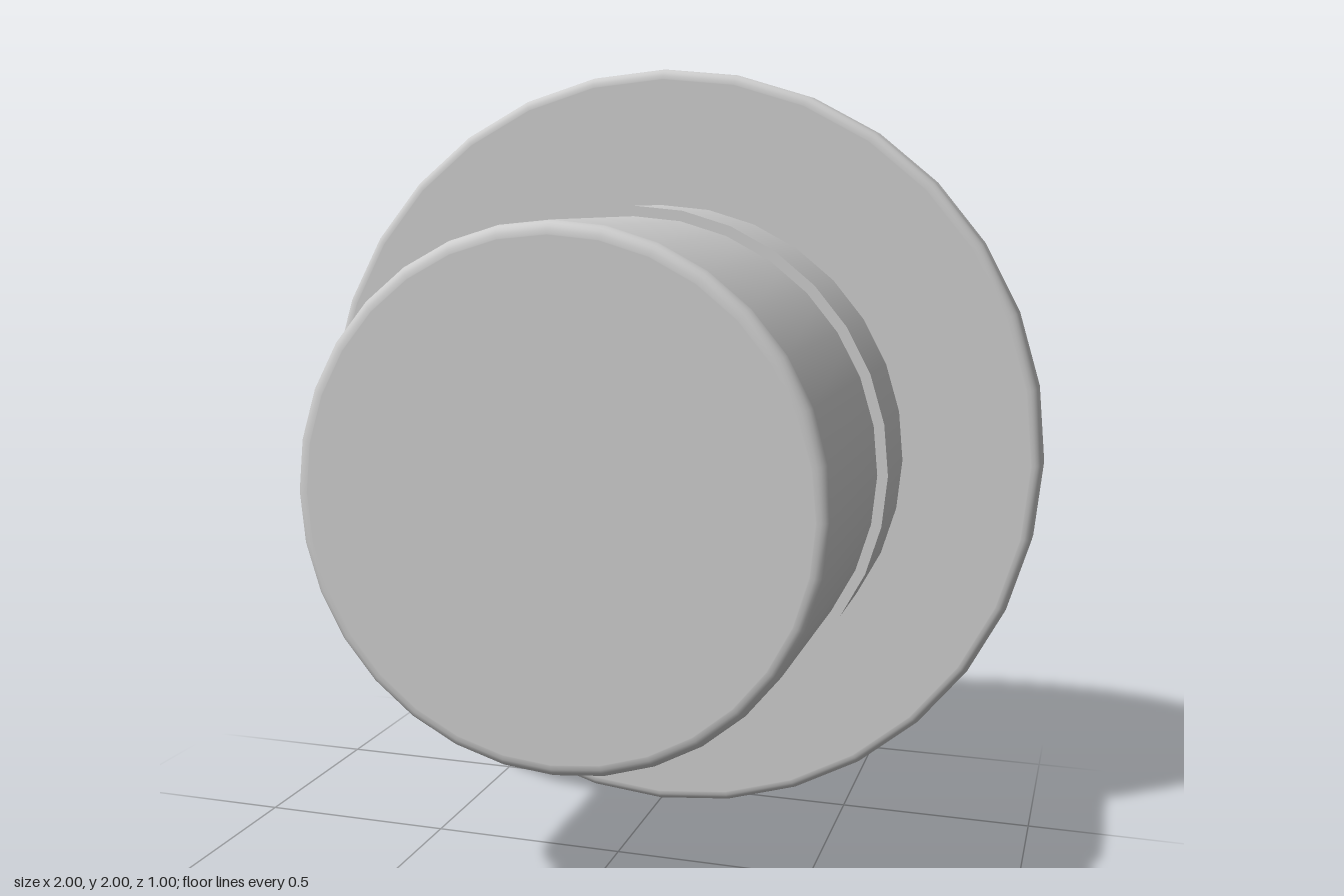
import * as THREE from 'three';

const SIDES = 32;

// Disc along z from z0 to z1 with rounded rims (radius 0 leaves an end square)
function roundedDisc(radius, z0, z1, backRound, frontRound) {
  const pts = [new THREE.Vector2(0, z0)];
  const steps = 5, guard = 0.002;
  const arc = (cz, r, from) => {
    for (let i = 0; i <= steps; i++) {
      const a = from + (i / steps) * Math.PI / 2;
      pts.push(new THREE.Vector2(radius - r + r * Math.cos(a), cz + r * Math.sin(a)));
    }
  };
  // guard points keep the caps and walls evenly shaded next to the rounding
  if (backRound) {
    pts.push(new THREE.Vector2(radius - backRound - guard, z0));
    arc(z0 + backRound, backRound, -Math.PI / 2);
    pts.push(new THREE.Vector2(radius, z0 + backRound + guard));
  } else {
    pts[0].x = radius;
  }
  pts.push(new THREE.Vector2(radius, z1 - frontRound - guard));
  arc(z1 - frontRound, frontRound, 0);
  pts.push(new THREE.Vector2(radius - frontRound - guard, z1));
  pts.push(new THREE.Vector2(0, z1));
  return new THREE.LatheGeometry(pts, SIDES).rotateX(Math.PI / 2);
}

export function createModel() {
  const group = new THREE.Group();
  group.name = 'hat';
  const grey = new THREE.MeshStandardMaterial({ color: 0xcccccc });
  grey.name = 'light grey';

  const add = (name, geometry, z = 0) => {
    const mesh = new THREE.Mesh(geometry, grey);
    mesh.name = name;
    mesh.position.set(0, 1, z);
    group.add(mesh);
  };

  // Wide flat brim at the back
  add('brim', roundedDisc(1, -0.5, -0.38, 0.025, 0.025));
  // Crown with a softened front rim
  add('crown', roundedDisc(0.624, -0.4, 0.5, 0, 0.03));
  // Square-edged band around the foot of the crown
  add('band', new THREE.CylinderGeometry(0.65, 0.65, 0.265, SIDES).rotateX(Math.PI / 2), -0.2575);

  return group;
}
